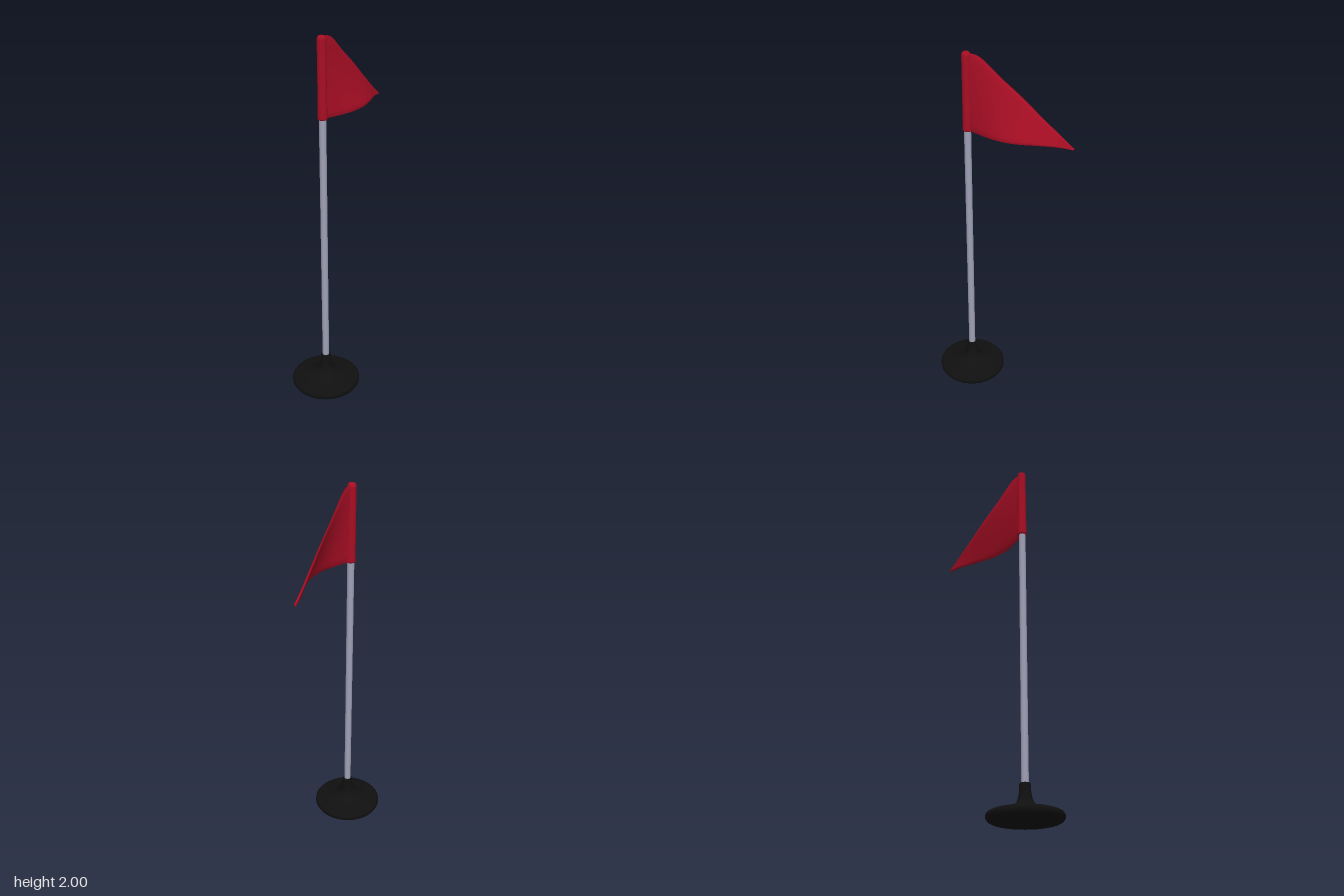
import * as THREE from 'three';

const POLE_X = -0.18;

const material = (name, color) => {
  const m = new THREE.MeshStandardMaterial({ color });
  m.name = name;
  return m;
};

const lathe = (name, points, mat, segments = 40) => {
  const profile = points.map(([r, y]) => new THREE.Vector2(r, y));
  const mesh = new THREE.Mesh(new THREE.LatheGeometry(profile, segments), mat);
  mesh.name = name;
  mesh.position.x = POLE_X;
  return mesh;
};

const curve = (points) =>
  new THREE.CatmullRomCurve3(points.map((p) => new THREE.Vector3(...p)));

// Thin closed sheet between a straight sloping top edge and a billowing bottom edge
function pennantGeometry() {
  const top = curve([
    [-0.18, 1.992, 0], [-0.12, 1.987, -0.01], [0, 1.888, -0.036], [0.1, 1.806, -0.06],
    [0.2, 1.715, -0.083], [0.3, 1.627, -0.106], [0.364, 1.572, -0.118],
  ]);
  const bottom = curve([
    [-0.18, 1.587, 0], [-0.12, 1.587, 0.012], [0, 1.587, 0.027], [0.1, 1.587, 0.014],
    [0.2, 1.586, -0.028], [0.3, 1.575, -0.09], [0.364, 1.567, -0.118],
  ]);
  const columns = 36, rows = 14, ring = 2 * (rows + 1);
  const position = [], index = [];
  const p = new THREE.Vector3();
  for (let i = 0; i <= columns; i++) {
    const a = bottom.getPoint(i / columns), b = top.getPoint(i / columns);
    for (let k = 0; k < ring; k++) {
      const front = k <= rows;
      const t = (front ? k : ring - 1 - k) / rows;
      const half = t === 0 || t === 1 ? 0.003 : 0.006;
      p.lerpVectors(a, b, t);
      position.push(p.x, p.y, p.z + (front ? half : -half));
    }
  }
  for (let i = 0; i < columns; i++) {
    for (let k = 0; k < ring; k++) {
      const n = (k + 1) % ring;
      const a = i * ring + k, b = a + ring, c = (i + 1) * ring + n, d = i * ring + n;
      index.push(a, b, c, a, c, d);
    }
  }
  // Close the tip
  const last = columns * ring;
  for (let k = 0; k < rows; k++) {
    const a = last + k, b = last + ring - 1 - k;
    index.push(a, b, b - 1, a, b - 1, a + 1);
  }
  const geometry = new THREE.BufferGeometry();
  geometry.setAttribute('position', new THREE.Float32BufferAttribute(position, 3));
  geometry.setIndex(index);
  geometry.computeVertexNormals();
  return geometry;
}

export function createModel() {
  const group = new THREE.Group();
  group.name = 'cornerFlag';
  const rubber = material('blackRubber', 0x101010);
  const metal = material('greyMetal', 0x9fa1b6);
  const cloth = material('redCloth', 0xa80e24);

  // Weighted foot with a rounded rim and a flared socket
  group.add(lathe('base', [
    [0, 0.003], [0.172, 0.003], [0.183, 0.009], [0.19, 0.02], [0.19, 0.034], [0.183, 0.044],
    [0.172, 0.049], [0.135, 0.051], [0.1, 0.06], [0.065, 0.077], [0.044, 0.093], [0.035, 0.115],
    [0.029, 0.15], [0.028, 0.184], [0.025, 0.189], [0, 0.189],
  ], rubber));

  // Pole
  const pole = new THREE.Mesh(new THREE.CylinderGeometry(0.0185, 0.0185, 1.8, 24), metal);
  pole.name = 'pole';
  pole.position.set(POLE_X, 1.05, 0);
  group.add(pole);

  // Cloth sleeve wrapped over the pole top
  group.add(lathe('flagSleeve', [
    [0, 1.585], [0.023, 1.585], [0.026, 1.592], [0.024, 1.62], [0.023, 1.8], [0.023, 1.982],
    [0.021, 1.992], [0.014, 1.999], [0, 2.0],
  ], cloth, 28));

  // Billowing triangular flag
  const pennant = new THREE.Mesh(pennantGeometry(), cloth);
  pennant.name = 'pennant';
  group.add(pennant);

  return group;
}
